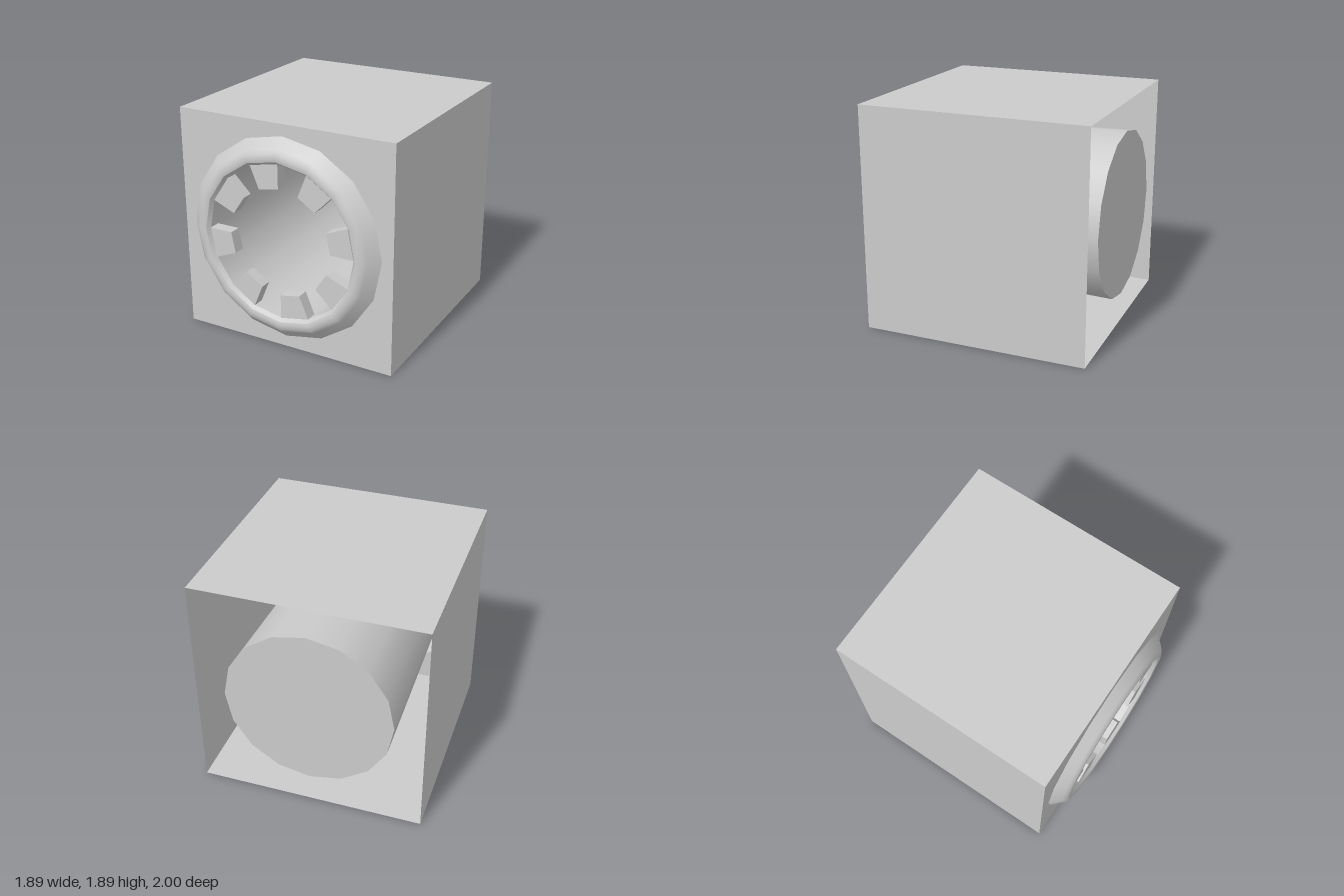
import * as THREE from 'three';

const SIDES = 16;
const HALF = 0.945;      // half width of the housing
const FRONT = 0.89;      // z of the front plate
const BACK = -1;
const STEP = (Math.PI * 2) / SIDES;

const polar = (r, k) => new THREE.Vector2(r * Math.cos(k * STEP), r * Math.sin(k * STEP));

export function createModel() {
  const root = new THREE.Group();
  root.name = 'portHousing';
  const mat = new THREE.MeshStandardMaterial({ color: 0xcccccc, side: THREE.DoubleSide });

  const add = (parent, name, geometry) => {
    const mesh = new THREE.Mesh(geometry, mat);
    mesh.name = name;
    parent.add(mesh);
    return mesh;
  };

  // Lathe around the z axis from [radius, z] pairs
  const latheZ = (pairs) =>
    new THREE.LatheGeometry(pairs.map((p) => new THREE.Vector2(p[0], p[1])), SIDES).rotateX(Math.PI / 2);

  // Housing: four thin walls, open at the back
  const housing = new THREE.Group();
  housing.name = 'housing';
  housing.position.y = HALF;
  root.add(housing);
  ['rightWall', 'topWall', 'leftWall', 'bottomWall'].forEach((name, i) => {
    const wall = new THREE.PlaneGeometry(FRONT - BACK, 2 * HALF);
    wall.rotateY(Math.PI / 2).translate(HALF, 0, (FRONT + BACK) / 2);
    wall.rotateZ((i * Math.PI) / 2);
    add(housing, i === 0 ? 'leftWall' : i === 2 ? 'rightWall' : name, wall);
  });

  // Front plate with the round opening
  const plate = new THREE.Shape([
    new THREE.Vector2(-HALF, -HALF), new THREE.Vector2(HALF, -HALF),
    new THREE.Vector2(HALF, HALF), new THREE.Vector2(-HALF, HALF),
  ]);
  plate.holes.push(new THREE.Path(Array.from({ length: SIDES }, (_, k) => polar(0.85, -k))));
  add(housing, 'frontPlate', new THREE.ShapeGeometry(plate).translate(0, 0, FRONT));

  // Rounded rim around the opening
  const port = new THREE.Group();
  port.name = 'port';
  port.position.y = HALF;
  root.add(port);
  add(port, 'rim', latheZ([[0.85, FRONT], [0.77, 0.97], [0.74, 0.995], [0.7, 1], [0.675, 0.993]]));
  add(port, 'rimInnerBevel', latheZ([[0.675, 0.993], [0.65, 0.96]]));

  // Barrel widening slightly towards its closed end
  add(port, 'barrel', latheZ([[0.65, 0.96], [0.7, BACK]]));
  add(port, 'barrelEnd', new THREE.CircleGeometry(0.7, SIDES).translate(0, 0, BACK));

  // Eight teeth on every other facet of the opening
  const toothShape = new THREE.Shape([polar(0.45, 0), polar(0.65, 0), polar(0.65, 1), polar(0.45, 1)]);
  const toothGeometry = new THREE.ExtrudeGeometry(toothShape, { depth: 0.1, bevelEnabled: false });
  toothGeometry.translate(0, 0, 0.865);
  for (let i = 0; i < SIDES / 2; i++) {
    add(port, 'tooth', toothGeometry).rotation.z = i * 2 * STEP;
  }

  return root;
}
